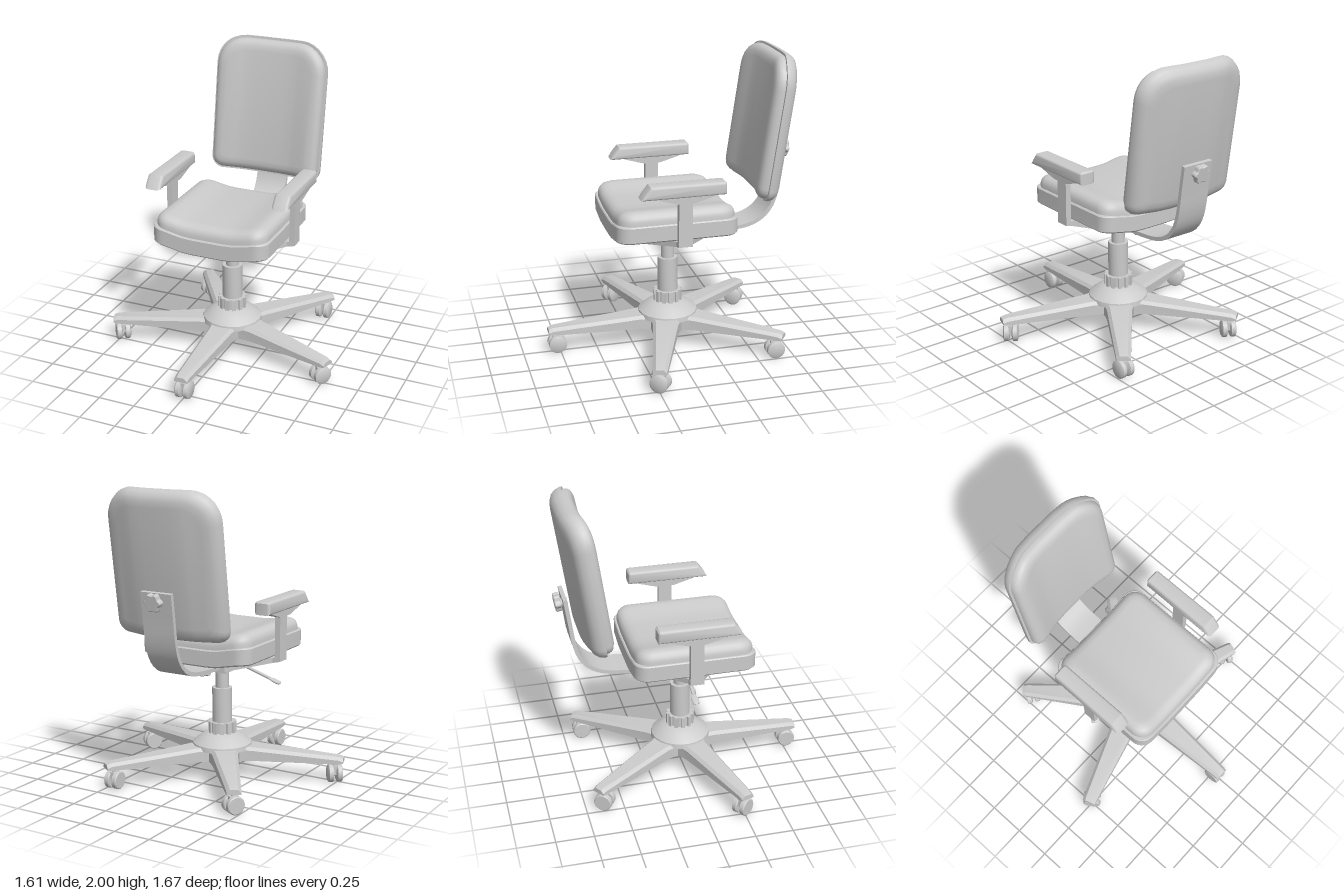
import * as THREE from 'three';
import { toCreasedNormals } from 'three/addons/utils/BufferGeometryUtils.js';

const grey = new THREE.MeshStandardMaterial({ color: 0xcccccc });

function add(parent, name, geometry, x = 0, y = 0, z = 0) {
  const mesh = new THREE.Mesh(geometry, grey);
  mesh.name = name;
  mesh.position.set(x, y, z);
  parent.add(mesh);
  return mesh;
}

// Skin a row of matching loops (counter-clockwise seen from the last one), with strip caps.
function loft(sections, crease = 0.6) {
  const pos = [];
  const quad = (a, b, c, d) => [a, b, c, a, c, d].forEach((p) => pos.push(...p));
  const n = sections[0].length;
  for (let j = 0; j < sections.length - 1; j++) {
    const s = sections[j], t = sections[j + 1];
    for (let i = 0; i < n; i++) {
      const k = (i + 1) % n;
      quad(s[i], s[k], t[k], t[i]);
    }
  }
  const first = sections[0], last = sections[sections.length - 1];
  for (let i = 0; i < n / 2 - 1; i++) {
    quad(last[i], last[i + 1], last[n - 2 - i], last[n - 1 - i]);
    quad(first[n - 1 - i], first[n - 2 - i], first[i + 1], first[i]);
  }
  const g = new THREE.BufferGeometry();
  g.setAttribute('position', new THREE.Float32BufferAttribute(pos, 3));
  return toCreasedNormals(g, crease);
}

// Beam along z from rows of [z, half width, bottom, top]; bevel trims the top edges.
function beam(rows, bevel = 0) {
  return loft(rows.map(([z, w, y0, y1]) => {
    if (!bevel) return [[-w, y0, z], [w, y0, z], [w, y1, z], [-w, y1, z]];
    const m = y1 - bevel, v = w - bevel;
    return [[-w, y0, z], [w, y0, z], [w, m, z], [v, y1, z], [-v, y1, z], [-w, m, z]];
  }), 0.3);
}

// Upholstered panel in the xy plane; layers are [inset, depth], sides curl towards +z.
function pad(hw, y0, y1, rTop, rBottom, layers) {
  const curl = (x) => 0.037 * THREE.MathUtils.smoothstep(Math.abs(x), 0.12, 0.38);
  const rMax = Math.max(rTop, rBottom);
  const inner = [0.1, 0.17, 0.22, 0.27].filter((x) => x < hw - rMax - 0.035);
  return loft(layers.map(([inset, depth]) => {
    const w = hw - inset, r = rMax - inset * 0.7;
    const half = [...inner];
    for (let i = 0; i <= 7; i++) half.push(w - r + r * Math.sin((i / 7) * Math.PI / 2));
    const xs = [...half.map((x) => -x).reverse(), 0, ...half];
    const drop = (x, rad) => {
      const c = Math.max(0, Math.abs(x) - (w - rad));
      return rad - Math.sqrt(Math.max(0, rad * rad - c * c));
    };
    const rb = Math.max(0.03, rBottom - inset * 0.7), rt = Math.max(0.03, rTop - inset * 0.7);
    const low = xs.map((x) => [x, y0 + inset + drop(x, rb), depth + curl(x)]);
    const high = xs.map((x) => [x, y1 - inset - drop(x, rt), depth + curl(x)]);
    return [...low, ...high.reverse()];
  }));
}

function lathe(points, segments = 24) {
  const g = new THREE.LatheGeometry(points.map(([r, y]) => new THREE.Vector2(r, y)), segments);
  return toCreasedNormals(g, 0.5);
}

// Lobed hand knob, thickness along z
function knobGeometry() {
  const pts = [];
  for (let i = 0; i < 36; i++) {
    const a = (i / 36) * Math.PI * 2, r = 0.056 + 0.006 * Math.cos(6 * a);
    pts.push(new THREE.Vector2(r * Math.cos(a), r * Math.sin(a)));
  }
  return new THREE.ExtrudeGeometry(new THREE.Shape(pts), {
    depth: 0.03, bevelSize: 0.006, bevelOffset: -0.006, bevelThickness: 0.006, bevelSegments: 1,
  });
}

function makeCaster() {
  const caster = new THREE.Group();
  caster.name = 'caster';
  const wheel = lathe([[0, -0.02], [0.045, -0.02], [0.06, -0.012], [0.06, 0.014], [0.054, 0.02], [0, 0.02]]);
  wheel.rotateZ(Math.PI / 2);
  for (const s of [-1, 1]) add(caster, 'casterWheel', wheel, s * 0.029, 0.06, 0);
  add(caster, 'casterAxle', new THREE.BoxGeometry(0.03, 0.06, 0.06), 0, 0.085, 0);
  add(caster, 'casterStem', new THREE.CylinderGeometry(0.015, 0.015, 0.06, 12), 0, 0.12, 0);
  return caster;
}

function makeBase() {
  const base = new THREE.Group();
  base.name = 'base';
  const leg = beam([[0.13, 0.105, 0.13, 0.225], [0.22, 0.085, 0.13, 0.22],
    [0.8, 0.048, 0.135, 0.182], [0.83, 0.045, 0.14, 0.172]], 0.02);
  const yaws = [0, -0.65, 0, -0.55, 0.65];
  for (let i = 0; i < 5; i++) {
    const a = (i * Math.PI * 2) / 5;
    add(base, 'leg', leg).rotation.y = a;
    const caster = makeCaster();
    caster.position.set(0.77 * Math.sin(a), 0, 0.77 * Math.cos(a));
    caster.rotation.y = yaws[i];
    base.add(caster);
  }
  const core = toCreasedNormals(new THREE.CylinderGeometry(0.172, 0.172, 0.09, 5), 0.5);
  add(base, 'hubCore', core, 0, 0.175, 0).rotation.y = Math.PI / 5;
  add(base, 'hubCone', lathe([[0, 0.2], [0.205, 0.2], [0.2, 0.232], [0.145, 0.275], [0.09, 0.302], [0, 0.302]], 20));
  add(base, 'collar', new THREE.CylinderGeometry(0.086, 0.086, 0.08, 24), 0, 0.335, 0);
  for (let i = 0; i < 12; i++) {
    const a = (i / 12) * Math.PI * 2;
    add(base, 'collarRib', new THREE.BoxGeometry(0.026, 0.08, 0.02),
      0.086 * Math.sin(a), 0.335, 0.086 * Math.cos(a)).rotation.y = a;
  }
  add(base, 'column', lathe([[0.068, 0.3], [0.068, 0.61], [0.045, 0.61], [0.045, 0.8]], 16));
  add(base, 'columnSocket', new THREE.BoxGeometry(0.12, 0.08, 0.12), 0, 0.76, 0);
  return base;
}

function makeSeat() {
  const seat = new THREE.Group();
  seat.name = 'seat';
  const shell = pad(0.405, -0.425, 0.385, 0.09, 0.09, [[0.01, 0], [0, 0.01], [0, 0.108], [0.006, 0.115]]);
  const cushion = pad(0.39, -0.41, 0.37, 0.1, 0.1,
    [[0, 0.1], [0, 0.14], [0.008, 0.165], [0.022, 0.182], [0.045, 0.195], [0.08, 0.2]]);
  add(seat, 'seatShell', shell.rotateX(-Math.PI / 2), 0, 0.835, 0);
  add(seat, 'seatCushion', cushion.rotateX(-Math.PI / 2), 0, 0.835, 0);
  // Tapered plate reaching out to the arm posts
  const half = [[0.15, 0.22, 0.778, 0.85], [0.41, 0.047, 0.835, 0.87], [0.462, 0.045, 0.847, 0.87]];
  const rows = [...half.map(([x, ...rest]) => [-x, ...rest]).reverse(), ...half];
  add(seat, 'underPlate', beam(rows).rotateY(Math.PI / 2));
  const knob = add(seat, 'tensionKnob', knobGeometry(), 0, 0.785, -0.25);
  knob.rotation.x = Math.PI / 2;
  add(seat, 'tensionStem', new THREE.CylinderGeometry(0.025, 0.025, 0.06, 12), 0, 0.8, -0.25);
  // Height lever with a flat paddle
  const lever = new THREE.Group();
  lever.name = 'heightLever';
  lever.position.set(-0.12, 0.795, 0);
  lever.rotation.z = Math.PI / 2 + 0.31;
  add(lever, 'leverRod', new THREE.CylinderGeometry(0.01, 0.01, 0.26, 10), 0, 0.13, 0);
  add(lever, 'leverPaddle', lathe([[0, 0], [0.01, 0], [0.024, 0.05], [0.022, 0.09], [0, 0.105]], 12),
    0, 0.24, 0).scale.x = 0.5;
  seat.add(lever);
  return seat;
}

function makeArm(side) {
  const arm = new THREE.Group();
  arm.name = side > 0 ? 'leftArm' : 'rightArm';
  add(arm, 'armPost', new THREE.BoxGeometry(0.038, 0.33, 0.09), side * 0.443, 1.012, 0);
  add(arm, 'armBracket', beam([[-0.2, 0.04, 1.188, 1.2], [-0.06, 0.034, 1.145, 1.2],
    [0.06, 0.034, 1.145, 1.2], [0.2, 0.04, 1.188, 1.2]]), side * 0.443, 0, 0);
  const outline = [[-0.26, 1.19], [0.295, 1.19], [0.275, 1.225], [0.235, 1.275], [-0.25, 1.275], [-0.26, 1.265]];
  const rest = new THREE.ExtrudeGeometry(new THREE.Shape(outline.map((p) => new THREE.Vector2(...p))), {
    depth: 0.07, bevelSize: 0.018, bevelOffset: -0.018, bevelThickness: 0.02, bevelSegments: 3,
  });
  rest.translate(0, 0, -0.035).rotateY(-Math.PI / 2);
  add(arm, 'armRest', toCreasedNormals(rest, 0.6), side * 0.445, 0, 0);
  return arm;
}

function makeBack() {
  const back = new THREE.Group();
  back.name = 'back';
  const panel = new THREE.Group();
  panel.name = 'backPanel';
  panel.position.set(0, 1.06, -0.6);
  panel.rotation.x = -0.143;
  add(panel, 'backShell', pad(0.405, 0, 0.95, 0.2, 0.08,
    [[0.1, -0.085], [0.06, -0.081], [0.03, -0.068], [0.01, -0.045], [0, -0.015], [0, 0.004]]));
  add(panel, 'backCushion', pad(0.39, 0.015, 0.935, 0.19, 0.075,
    [[0, 0], [0, 0.022], [0.008, 0.042], [0.022, 0.056], [0.045, 0.066], [0.08, 0.07]]));
  back.add(panel);
  // Curved flat bar from under the seat up to the panel
  const path = new THREE.CatmullRomCurve3([[0.8, -0.15], [0.806, -0.38], [0.83, -0.55], [0.875, -0.635],
    [0.95, -0.695], [1.05, -0.728], [1.2, -0.75], [1.375, -0.775]].map(([y, z]) => new THREE.Vector3(0, y, z)));
  const sections = [];
  for (let i = 0; i <= 24; i++) {
    const p = path.getPointAt(i / 24), t = path.getTangentAt(i / 24);
    const w = 0.112, ny = t.z * 0.013, nz = -t.y * 0.013;
    sections.push([[-w, p.y - ny, p.z - nz], [w, p.y - ny, p.z - nz], [w, p.y + ny, p.z + nz], [-w, p.y + ny, p.z + nz]]);
  }
  add(back, 'backBar', loft(sections));
  const knob = add(back, 'backKnob', knobGeometry(), 0, 1.315, -0.825);
  knob.rotation.x = -0.143;
  const stem = add(back, 'backKnobStem', new THREE.CylinderGeometry(0.028, 0.028, 0.08, 12), 0, 1.31, -0.785);
  stem.rotation.x = Math.PI / 2 - 0.143;
  return back;
}

export function createModel() {
  const chair = new THREE.Group();
  chair.name = 'officeChair';
  chair.add(makeBase(), makeSeat(), makeArm(1), makeArm(-1), makeBack());
  return chair;
}
